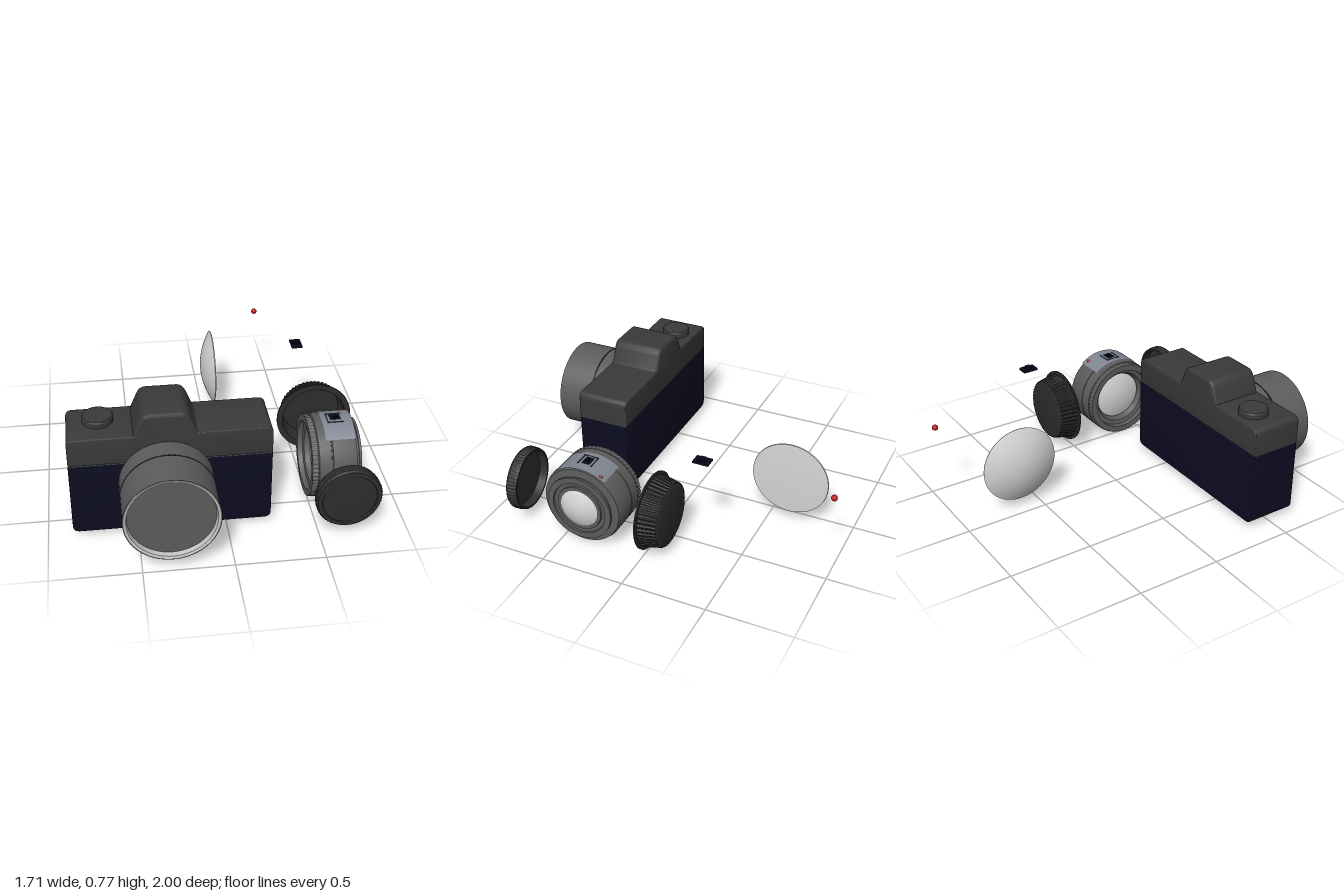
import * as THREE from 'three';
import { toCreasedNormals } from 'three/addons/utils/BufferGeometryUtils.js';

const mat = (name, color, side = THREE.FrontSide) => {
  const m = new THREE.MeshStandardMaterial({ color, side });
  m.name = name;
  return m;
};

export function createModel() {
  const charcoal = mat('charcoal', 0x3a3a3a);
  const navy = mat('navy', 0x0c0c22);
  const barrelGrey = mat('barrel grey', 0x5c5c5c);
  const rimGrey = mat('light rim', 0xc4c4c4);
  const capBlack = mat('cap black', 0x2d2d2d);
  const glass = mat('glass', 0xd6d6d6);
  const plateGrey = mat('blue grey plate', 0x808692, THREE.DoubleSide);
  const red = mat('red', 0xb81c14);

  const model = new THREE.Group();
  model.name = 'cameraKit';

  const add = (parent, name, geo, material, x = 0, y = 0, z = 0) => {
    const mesh = new THREE.Mesh(geo, material);
    mesh.name = name;
    mesh.position.set(x, y, z);
    parent.add(mesh);
    return mesh;
  };
  const group = (name, x, y, z, rx = 0, ry = 0, rz = 0) => {
    const g = new THREE.Group();
    g.name = name;
    g.position.set(x, y, z);
    g.rotation.set(rx, ry, rz);
    model.add(g);
    return g;
  };
  // Turned profile of [radius, height]; ribs push alternate strips outwards
  const turned = (pts, ribs = 0, depth = 0, lo = 0, hi = 0) => {
    const geo = new THREE.LatheGeometry(pts.map(p => new THREE.Vector2(...p)), ribs ? ribs * 4 : 72);
    if (ribs) {
      const pos = geo.attributes.position;
      for (let i = 0; i < pos.count; i++) {
        const strip = Math.floor(i / pts.length) % 4;
        const row = i % pts.length;
        if (strip < 2 && row >= lo && row <= hi) {
          const k = 1 + depth / pts[row][0];
          pos.setX(i, pos.getX(i) * k);
          pos.setZ(i, pos.getZ(i) * k);
        }
      }
    }
    return toCreasedNormals(geo, 0.45);
  };
  // Outline pushed along z between two depths, with a rounded edge
  const slab = (shape, z0, z1, bevel) => {
    const geo = new THREE.ExtrudeGeometry(shape, {
      depth: z1 - z0 - 2 * bevel, bevelThickness: bevel, bevelSize: bevel,
      bevelOffset: -bevel, bevelSegments: 3, curveSegments: 8
    });
    geo.translate(0, 0, z0 + bevel);
    return toCreasedNormals(geo, 0.6);
  };

  // Camera body: lower and upper halves with rounded outer corners
  const X0 = -0.86, X1 = 0.25, Z0 = 0.347, Z1 = 0.656, SPLIT = 0.487, R = 0.04;
  const half = (edge) => {
    const s = new THREE.Shape();
    const r = Math.sign(SPLIT - edge) * R;
    s.moveTo(X0, SPLIT);
    s.lineTo(X0, edge + r);
    s.quadraticCurveTo(X0, edge, X0 + R, edge);
    s.lineTo(X1 - R, edge);
    s.quadraticCurveTo(X1, edge, X1, edge + r);
    s.lineTo(X1, SPLIT);
    s.closePath();
    return slab(s, Z0, Z1, 0.006);
  };
  const body = group('cameraBody', 0, 0, 0);
  add(body, 'lowerBody', half(0.042), navy);
  add(body, 'upperBody', half(0.652), charcoal);

  // Viewfinder hump
  const hump = new THREE.Shape();
  hump.moveTo(-0.51, 0.63);
  hump.lineTo(-0.505, 0.65);
  hump.lineTo(-0.465, 0.742);
  hump.quadraticCurveTo(-0.449, 0.779, -0.412, 0.779);
  hump.lineTo(-0.25, 0.779);
  hump.quadraticCurveTo(-0.213, 0.779, -0.197, 0.742);
  hump.lineTo(-0.165, 0.665);
  hump.quadraticCurveTo(-0.16, 0.652, -0.145, 0.65);
  hump.lineTo(-0.145, 0.63);
  hump.closePath();
  add(body, 'viewfinderHump', slab(hump, Z0, Z1, 0.018), charcoal);

  // Shutter dial
  add(body, 'shutterDial', turned([[0, 0], [0.085, 0], [0.085, 0.032], [0.08, 0.04], [0, 0.04]]),
    charcoal, -0.685, 0.648, 0.47);

  // Mounted lens, split by a dark groove
  const lens = group('mountedLens', -0.334, 0.346, 0, Math.PI / 2);
  const LR = 0.261;
  add(lens, 'rearBarrel', turned([[0, 0.64], [LR, 0.64], [LR, 0.775], [0, 0.775]]), barrelGrey);
  add(lens, 'groove', turned([[LR - 0.002, 0.774], [LR - 0.002, 0.786]]), navy);
  add(lens, 'frontBarrel', turned([[0, 0.785], [LR, 0.785], [LR, 0.999], [0.258, 0.999]]), barrelGrey);
  add(lens, 'frontRim', turned([[LR - 0.002, 0.998], [0.256, 1], [0.242, 0.995], [0.236, 0.965]]), rimGrey);
  add(lens, 'frontDisc', turned([[0.24, 0.967], [0, 0.967]]), barrelGrey);

  // Loose lens, pointing sideways
  const loose = group('looseLens', 0, 0.252, 0.376, 0, 0, -Math.PI / 2);
  add(loose, 'knurledRing', turned([[0.2, 0.49], [0.236, 0.49], [0.238, 0.523], [0.2, 0.523]], 60, 0.004, 1, 2), barrelGrey);
  add(loose, 'barrel', turned([
    [0, 0.56], [0.155, 0.56], [0.17, 0.525], [0.198, 0.52], [0.202, 0.49], [0.23, 0.49],
    [0.236, 0.525], [0.243, 0.53], [0.243, 0.6], [0.24, 0.602], [0.24, 0.608], [0.243, 0.61],
    [0.243, 0.725], [0.236, 0.748], [0.19, 0.752], [0.19, 0.768], [0.2, 0.768], [0.2, 0.782],
    [0.165, 0.782], [0.163, 0.772], [0.14, 0.77], [0.138, 0.78], [0.12, 0.78], [0, 0.78]]), barrelGrey);
  // Shallow domed glass at both ends
  const dome = (r, base, tip) => {
    const pts = [];
    for (let i = 0; i <= 8; i++) {
      const t = i / 8;
      pts.push([r * t, tip + (base - tip) * t * t]);
    }
    return tip > base ? pts.reverse() : pts;
  };
  add(loose, 'frontGlass', turned(dome(0.118, 0.779, 0.812)), glass);
  add(loose, 'rearGlass', turned(dome(0.15, 0.557, 0.53)), glass);

  // Curved scale plate wrapped over the top of the barrel
  const SPAN = 0.66;
  add(loose, 'scalePlate', new THREE.CylinderGeometry(0.246, 0.246, 0.175, 20, 1, true,
    1.5 * Math.PI - SPAN, 2 * SPAN), plateGrey, 0, 0.662, 0);
  // Switch with its frame
  const box = (w, h, d) => new THREE.BoxGeometry(w, h, d);
  for (const s of [-1, 1]) add(model, 'switchFrameSide', box(0.09, 0.006, 0.006), charcoal, 0.65, 0.495, 0.376 + s * 0.042);
  add(model, 'switchFrameEnd', box(0.006, 0.006, 0.09), charcoal, 0.608, 0.497, 0.376);
  add(model, 'switchBase', box(0.06, 0.008, 0.045), navy, 0.655, 0.498, 0.373);
  add(model, 'switchKnob', box(0.022, 0.012, 0.022), navy, 0.657, 0.503, 0.373);
  add(model, 'alignmentDot', new THREE.SphereGeometry(0.012, 16, 12), red, 0.722, 0.461, 0.258);

  // Front cap with a ribbed edge and hollow back
  const frontCap = group('frontCap', 0.652, 0.258, 0.795, Math.PI / 2, 0, -0.03);
  add(frontCap, 'capShell', turned([
    [0, 0.015], [0.165, 0.015], [0.17, -0.034], [0.181, -0.034], [0.183, -0.012],
    [0.184, 0.022], [0.178, 0.034], [0.155, 0.036], [0.152, 0.032], [0, 0.032]], 56, 0.003, 4, 5), capBlack);

  // Rear cap: ribbed tapering cup with a thin flange, open to the front
  const rearCap = group('rearCap', 0.626, 0.255, 0, Math.PI / 2);
  add(rearCap, 'capCup', turned([
    [0, -0.125], [0.172, -0.125], [0.183, -0.118], [0.206, -0.016], [0.206, -0.008],
    [0.196, -0.008], [0.174, -0.108], [0, -0.108]], 48, 0.005, 2, 3), capBlack);
  add(rearCap, 'capFlange', turned([
    [0.193, -0.012], [0.228, -0.012], [0.228, -0.004], [0.193, -0.004], [0.193, -0.012]]), capBlack);

  // Loose glass element, strongly curved on one side
  const element = group('glassElement', 0, 0.295, -0.62, 0, 0, -Math.PI / 2);
  const back = dome(0.232, 0.07, 0.0);
  const face = dome(0.23, 0.076, 0.082);
  add(element, 'glassDisc', turned([...back, ...face]), glass);

  // Loose switch
  const chip = group('looseSwitch', 0.553, 0, -0.28);
  add(chip, 'switchPlate', box(0.065, 0.012, 0.092), navy, 0, 0.619, 0);
  add(chip, 'switchStep', box(0.046, 0.008, 0.05), navy, 0, 0.628, 0);
  add(chip, 'switchKnob', box(0.036, 0.008, 0.028), navy, 0, 0.635, 0);

  // Loose red dot
  add(model, 'looseDot', new THREE.SphereGeometry(0.018, 20, 14), red, 0.408, 0.49, -0.982);

  return model;
}
